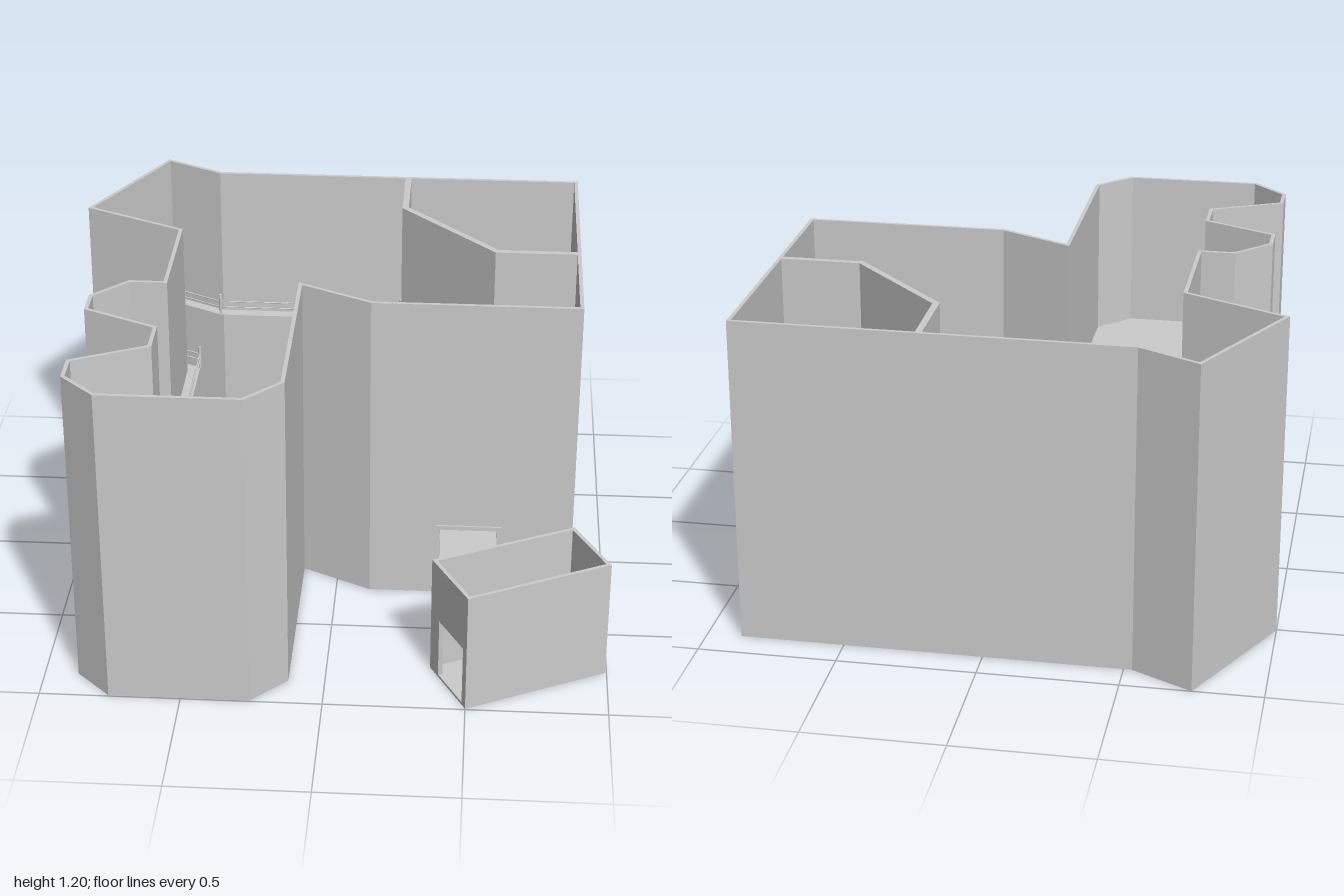
import * as THREE from 'three';

const material = new THREE.MeshStandardMaterial({ color: 0xcccccc, flatShading: true });
const H = 1.2;       // wall height
const DECK = 0.6;    // upper gallery height

const toPath = (pts, P) => new P(pts.map(([x, z]) => new THREE.Vector2(x, -z)));

// Vertical prism over a plan outline [x, z], with an optional hole
function slab(name, pts, y0, y1, hole) {
  const shape = toPath(pts, THREE.Shape);
  if (hole) shape.holes.push(toPath(hole, THREE.Path));
  const g = new THREE.ExtrudeGeometry(shape, { depth: y1 - y0, bevelEnabled: false });
  g.rotateX(-Math.PI / 2).translate(0, y0, 0);
  const mesh = new THREE.Mesh(g, material);
  mesh.name = name;
  return mesh;
}

// Mitred inward offset of a plan polyline
function offset(pts, d, closed) {
  const n = pts.length;
  const normal = (a, b) => {
    const dx = b[0] - a[0], dz = b[1] - a[1], l = Math.hypot(dx, dz);
    return [-dz / l, dx / l];
  };
  return pts.map((p, i) => {
    const prev = i > 0 || closed ? normal(pts[(i + n - 1) % n], p) : null;
    const next = i < n - 1 || closed ? normal(p, pts[(i + 1) % n]) : null;
    const a = prev || next, b = next || prev;
    const k = d / (1 + a[0] * b[0] + a[1] * b[1]);
    return [p[0] + (a[0] + b[0]) * k, p[1] + (a[1] + b[1]) * k];
  });
}

const lerp = (a, b, s) => [a[0] + (b[0] - a[0]) * s, a[1] + (b[1] - a[1]) * s];

// Run of wall; doors = { segment: { s0, s1, y0, y1, frame: [outer, inner] } }
function wall(name, pts, t, height, closed, doors = {}) {
  const group = new THREE.Group();
  group.name = name;
  const inner = offset(pts, t, closed), n = pts.length;
  for (let i = 0; i < (closed ? n : n - 1); i++) {
    const j = (i + 1) % n;
    const piece = (label, s0, s1, y0, y1) => group.add(slab(label, [
      lerp(pts[i], pts[j], s0), lerp(pts[i], pts[j], s1),
      lerp(inner[i], inner[j], s1), lerp(inner[i], inner[j], s0)], y0, y1));
    const door = doors[i];
    if (!door) { piece('wallPanel', 0, 1, 0, height); continue; }
    const { s0, s1, y0, y1, frame } = door;
    piece('wallPanel', 0, s0, 0, height);
    piece('wallPanel', s1, 1, 0, height);
    piece('wallAboveDoor', s0, s1, y1, height);
    if (y0 > 0) piece('doorSill', s0, s1, 0, y0);
    if (!frame) continue;
    // Door frame standing proud of both wall faces
    const seg = [pts[i], pts[j]];
    const out = offset(seg, -frame[0], false), back = offset(seg, frame[1], false);
    const len = Math.hypot(seg[1][0] - seg[0][0], seg[1][1] - seg[0][1]);
    const w = 0.016 / len;
    const trim = (label, a, b, ya, yb) => group.add(slab(label, [
      lerp(out[0], out[1], a), lerp(out[0], out[1], b),
      lerp(back[0], back[1], b), lerp(back[0], back[1], a)], ya, yb));
    trim('doorJamb', s0 - w / 2, s0 + w / 2, 0, y1);
    trim('doorJamb', s1 - w / 2, s1 + w / 2, 0, y1);
    trim('doorLintel', s0 - w / 2, s1 + w / 2, y1 - 0.008, y1 + 0.008);
  }
  return group;
}

// Thin rod between two points
function rod(name, a, b, r) {
  const d = new THREE.Vector3().subVectors(b, a);
  const mesh = new THREE.Mesh(new THREE.CylinderGeometry(r, r, d.length(), 8), material);
  mesh.position.copy(a).addScaledVector(d, 0.5);
  mesh.quaternion.setFromUnitVectors(new THREE.Vector3(0, 1, 0), d.normalize());
  mesh.name = name;
  return mesh;
}

// Posts at every corner, joined by two rails
function railing(pts) {
  const group = new THREE.Group();
  group.name = 'railing';
  const at = ([x, z], y) => new THREE.Vector3(x, y, z);
  pts.forEach((p, i) => {
    group.add(rod('railPost', at(p, DECK), at(p, DECK + 0.09), 0.006));
    if (i) for (const h of [0.035, 0.06])
      group.add(rod('rail', at(pts[i - 1], DECK + h), at(p, DECK + h), 0.0025));
  });
  return group;
}

export function createModel() {
  const model = new THREE.Group();
  model.name = 'building';

  // Main outer wall, with the front door
  const outline = [
    [-0.75, -1], [-0.53, -0.885], [0.875, -0.88], [0.875, 0.25], [0.125, 0.25], [-0.13, 0.12],
    [-0.13, 0.865], [-0.255, 0.995], [-0.755, 0.995], [-0.88, 0.87], [-0.88, 0.75],
    [-0.62, 0.625], [-0.62, 0.49], [-0.88, 0.365], [-0.88, 0.25], [-0.755, 0.12],
    [-0.63, 0.12], [-0.63, -0.325], [-1, -0.505]];
  const T = 0.014;
  model.add(wall('outerWall', outline, T, H, true,
    { 3: { s0: 0.36, s1: 0.665, y0: 0, y1: 0.285, frame: [0.007, 0.066] } }));
  const inside = offset(outline, T, true);
  model.add(slab('groundFloor', inside, 0, 0.01));

  // Partition closing off the back corner room, with its own door
  model.add(wall('partition', [[0.863, -0.2], [0.56, -0.2], [0.2, -0.58], [0.2, -0.868]], 0.024, H, false,
    { 1: { s0: 0.23, s1: 0.78, y0: 0, y1: 0.285, frame: [0.014, 0.038] } }));

  // Gallery ledge round the walls, widening to a full deck over the front wing
  const opening = [
    [-0.72, -0.92], [-0.54, -0.825], [0.66, -0.825], [0.81, -0.675], [0.81, 0.185], [0.14, 0.185],
    [-0.19, 0.015], [-0.19, 0.365], [-0.57, 0.365], [-0.57, -0.36], [-0.915, -0.535]];
  model.add(slab('gallery', inside, DECK - 0.015, DECK, opening));

  // Railings along the gallery edge
  [
    [[0.19, -0.825], [-0.54, -0.825], [-0.72, -0.92], [-0.915, -0.535], [-0.57, -0.36], [-0.57, 0.36]],
    [[-0.19, 0.36], [-0.19, 0.02], [0.14, 0.185], [0.81, 0.185], [0.81, -0.19]],
    [[0.235, -0.825], [0.66, -0.825]],
    [[0.81, -0.675], [0.81, -0.235]],
  ].forEach((pts) => model.add(railing(pts)));

  // Two stairs: a straight flight to the deck and a diagonal flight into the corner
  const straight = new THREE.Group(), corner = new THREE.Group();
  straight.name = 'straightStair';
  corner.name = 'cornerStair';
  const N = 15, rise = (DECK - 0.01) / (N + 1);
  for (let i = 0; i < N; i++) {
    const y0 = 0.01 + i * rise, y1 = y0 + rise;
    const z = 0.02 + (0.345 * i) / N;
    straight.add(slab('step', [[-0.57, z], [-0.19, z], [-0.19, 0.365], [-0.57, 0.365]], y0, y1));
    const c = 1.1 + (0.385 * i) / N;
    corner.add(slab('step', [[c - 0.866, -0.866], [0.861, -0.866], [0.861, 0.861 - c]], y0, y1));
  }
  model.add(straight, corner);

  // Small detached open-topped hut, turned to face the front door
  const hut = [[0.37, 0.75], [0.87, 0.5], [0.995, 0.745], [0.5, 0.995]];
  model.add(wall('hutWall', hut, 0.014, 0.455, true,
    { 3: { s0: 0.1, s1: 0.77, y0: 0.01, y1: 0.235 } }));
  model.add(slab('hutFloor', offset(hut, 0.014, true), 0, 0.01));

  return model;
}
